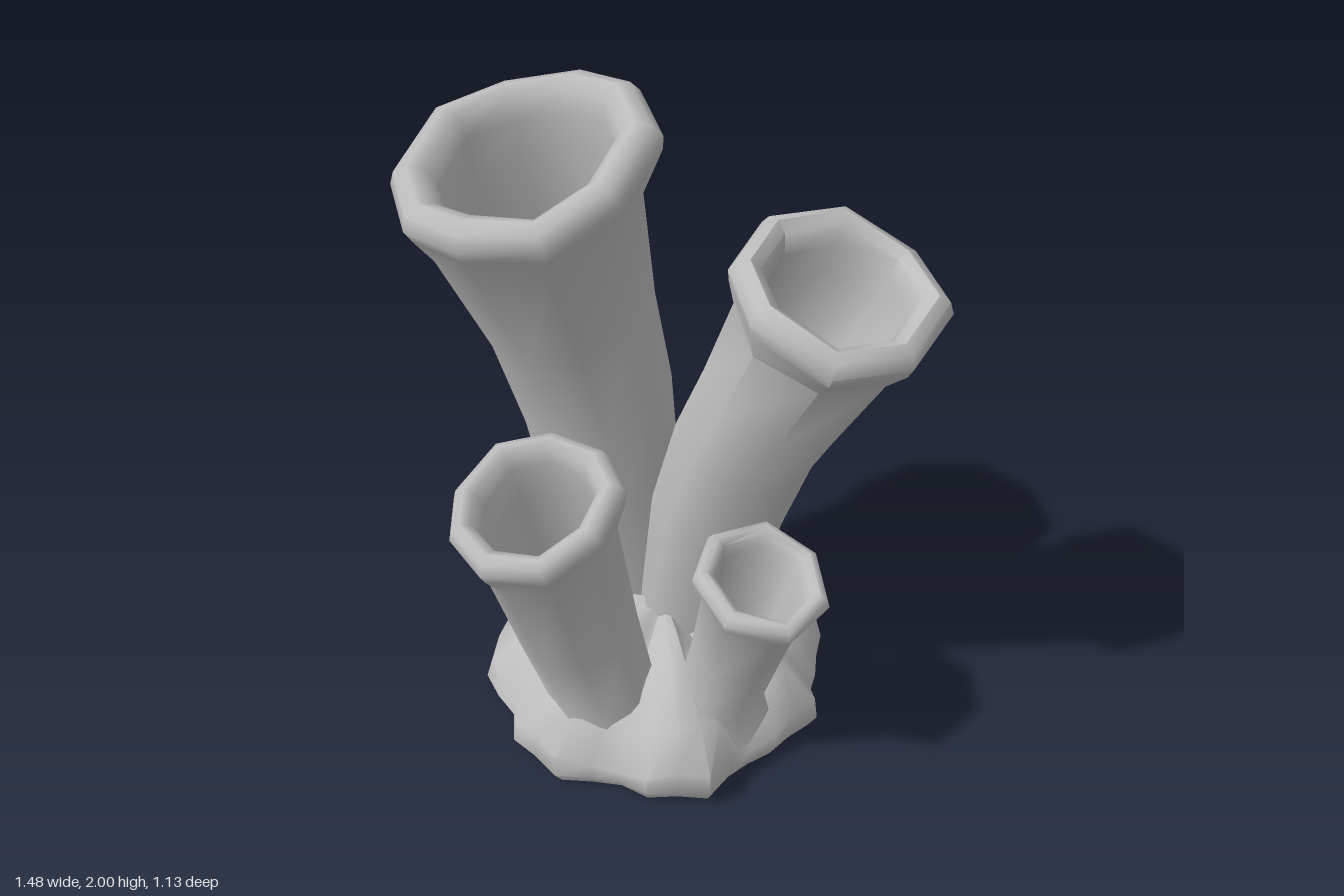
import * as THREE from 'three';
import { toCreasedNormals } from 'three/addons/utils/BufferGeometryUtils.js';

// Skin a stack of rings; point(i, angle, j) gives each corner.
function skin(rings, sides, point, crease) {
  const pos = [], index = [];
  for (let i = 0; i < rings; i++) {
    for (let j = 0; j < sides; j++) {
      pos.push(...point(i, (j / sides) * Math.PI * 2, j));
      if (i === rings - 1) continue;
      const a = i * sides + j, b = i * sides + ((j + 1) % sides);
      index.push(a, a + sides, b, b, a + sides, b + sides);
    }
  }
  const geo = new THREE.BufferGeometry();
  geo.setAttribute('position', new THREE.Float32BufferAttribute(pos, 3));
  geo.setIndex(index);
  return toCreasedNormals(geo, crease);
}

// Tubes: body sections [x, y, z, radius] from the bottom up, then the rim.
// slope is the sideways lean of the mouth's normal.
const TUBES = [
  { name: 'tallTube', sides: 10, crease: 1.2, slope: [-0.24, 0.2], turn: 0.2, lip: 0.055,
    body: [[-0.13, 0.1, -0.19, 0.19], [-0.14, 0.35, -0.2, 0.175], [-0.165, 0.7, -0.235, 0.215],
      [-0.21, 1.05, -0.24, 0.235], [-0.275, 1.35, -0.215, 0.25], [-0.36, 1.7, -0.15, 0.3]],
    rim: [-0.375, 1.835, -0.145, 0.365] },
  { name: 'mediumTube', sides: 8, crease: 0.85, slope: [0.15, 0.25], turn: 0.2, lip: 0.05,
    body: [[0.075, 0.1, -0.07, 0.2], [0.095, 0.38, -0.065, 0.19], [0.15, 0.7, -0.025, 0.2],
      [0.225, 1.0, 0.025, 0.21], [0.315, 1.22, 0.075, 0.225], [0.41, 1.46, 0.13, 0.25]],
    rim: [0.435, 1.575, 0.16, 0.3] },
  { name: 'leftTube', sides: 9, crease: 1.2, slope: [-0.2, 0.2], turn: 0.1, lip: 0.045,
    body: [[-0.22, 0.08, 0.2, 0.21], [-0.235, 0.25, 0.215, 0.165], [-0.295, 0.52, 0.25, 0.178],
      [-0.37, 0.9, 0.295, 0.2]],
    rim: [-0.395, 1.02, 0.31, 0.25] },
  { name: 'smallTube', sides: 7, crease: 1.1, slope: [0.15, 0.2], turn: 0.4, lip: 0.035,
    body: [[0.13, 0.08, 0.25, 0.2], [0.145, 0.26, 0.27, 0.135], [0.18, 0.45, 0.315, 0.14],
      [0.215, 0.67, 0.36, 0.155]],
    rim: [0.235, 0.755, 0.375, 0.205] },
];

function tubeGeometry({ sides, crease, slope, turn, lip, body, rim }) {
  const [sx, sz] = slope, [x, y, z, R] = rim;
  // Point on the mouth's axis, offset h along its normal
  const at = (h, r) => [x + sx * h, y + h, z + sz * h, r];
  const lips = [
    at(-lip * 0.7, R * 0.97), at(0, R), at(lip * 0.7, R * 0.94), at(lip, R * 0.83),
    at(lip * 0.6, R * 0.72), at(-lip * 0.5, R * 0.66),
  ];
  // The hollow follows the body down to the mound, which closes it
  const hollow = body.slice(1).reverse().map(([bx, by, bz, r]) => [bx, by, bz, r * 0.8]);
  const sections = [...body, ...lips, ...hollow];
  return skin(sections.length, sides, (i, angle, j) => {
    const [cx, cy, cz, r] = sections[i];
    const a = angle + turn;
    const onRim = i >= body.length && i < body.length + lips.length;
    // Uneven lip and slightly irregular walls
    const q = r * (1 + (onRim ? 0.03 : 0.02) * Math.sin(j * 2.4 + turn * 9));
    const dx = Math.cos(a) * q, dz = Math.sin(a) * q;
    const wave = onRim ? 0.06 * R * Math.sin(j * 2.1 + turn * 7) : 0;
    const lean = i === 0 ? 0 : 1;
    return [cx + dx, cy - lean * (sx * dx + sz * dz) + wave, cz + dz];
  }, crease);
}

// Lumpy base: flat underside, lobed edge, mound rising to the tubes
function baseGeometry() {
  const profile = [[0, 0], [0.525, 0], [0.555, 0.05], [0.535, 0.11], [0.44, 0.21], [0.3, 0.295], [0.15, 0.34], [0, 0.355]];
  return skin(profile.length, 36, (i, a, j) => {
    const [r, h] = profile[i];
    const lobe = -Math.sin(7 * a + 0.6);
    const jag = i < 4 ? 0.03 * Math.sin(j * 2.6) : 0;
    const frontBulge = i > 2 ? 0.03 * Math.sin(a) : 0;
    const cutIn = 0.11 * Math.max(0, Math.cos(a - 0.75)) ** 4;
    const q = r * (1 + 0.045 * lobe - 0.02 * Math.sin(3 * a + 2) + jag + frontBulge - cutIn);
    const bump = i > 2 && r > 0 ? 0.025 * lobe : 0;
    return [Math.cos(a) * q - 0.015, h + bump, Math.sin(a) * q - 0.005];
  }, 0.8);
}

export function createModel() {
  const group = new THREE.Group();
  group.name = 'tubeSponge';
  const grey = new THREE.MeshStandardMaterial({ color: 0xbcbcbc });
  grey.name = 'light grey';
  const add = (name, geometry) => {
    const mesh = new THREE.Mesh(geometry, grey);
    mesh.name = name;
    group.add(mesh);
  };
  add('base', baseGeometry());
  for (const tube of TUBES) add(tube.name, tubeGeometry(tube));
  return group;
}
